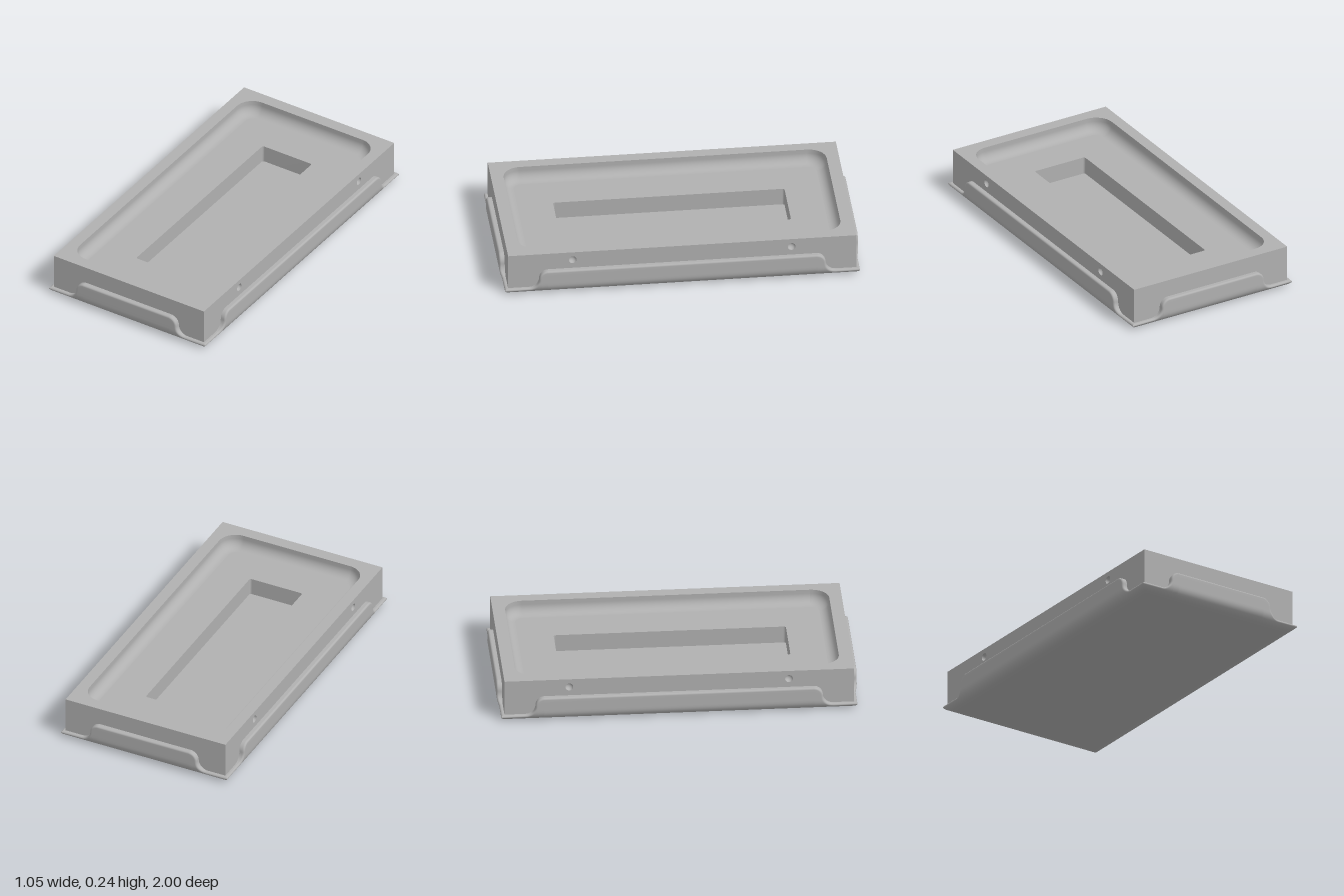
import * as THREE from 'three';

const BLOCK_X = 0.495, BLOCK_Z = 0.97, TOP = 0.243, LOW = 0.02;
const TRAY_Y = 0.164, POCKET_Y = 0.064;
const BASE_X = 0.465, BASE_Z = 0.94, BEND = 0.06, INNER = 0.03;

// Surface through rows of points; rows run upwards, columns to the right
function grid(rows) {
  const n = rows[0].length, index = [];
  for (let r = 0; r < rows.length - 1; r++) {
    for (let c = 0; c < n - 1; c++) {
      const a = r * n + c, b = a + n;
      index.push(a, a + 1, b + 1, a, b + 1, b);
    }
  }
  const g = new THREE.BufferGeometry();
  g.setAttribute('position', new THREE.Float32BufferAttribute(rows.flat(2), 3));
  g.setIndex(index);
  g.computeVertexNormals();
  return g;
}

// Closed rounded rectangle as [x, z] pairs
function ring(hx, hz, r, steps = 10) {
  const pts = [];
  [[1, 1], [-1, 1], [-1, -1], [1, -1]].forEach(([sx, sz], k) => {
    for (let i = 0; i <= steps; i++) {
      const t = (k + i / steps) * Math.PI / 2;
      pts.push([sx * (hx - r) + r * Math.cos(t), sz * (hz - r) + r * Math.sin(t)]);
    }
  });
  pts.push(pts[0]);
  return pts;
}

const at = (pts, y) => pts.map(([x, z]) => [x, y, z]);
const vecs = (pts) => pts.slice(0, -1).map(([x, z]) => new THREE.Vector2(x, z));

// Horizontal face with an optional opening
function flat(outer, hole, y) {
  const s = new THREE.Shape(vecs(outer));
  if (hole) s.holes.push(new THREE.Path(vecs(hole)));
  return new THREE.ShapeGeometry(s).rotateX(-Math.PI / 2).translate(0, y, 0);
}

function rect(hx, hz) {
  return [[hx, hz], [-hx, hz], [-hx, -hz], [hx, -hz], [hx, hz]];
}

// Upper edge of one skirt side: [along, height, normal along, normal up]
function skirtEdge(half, flatEnd) {
  const pts = [], r1 = 0.05, r2 = 0.057, steps = 10;
  for (let i = 0; i <= steps; i++) {
    const t = i / steps * Math.PI / 2;
    pts.push([flatEnd + r1 * Math.sin(t), 0.093 + r1 * Math.cos(t), Math.sin(t), Math.cos(t)]);
  }
  for (let i = 1; i <= steps; i++) {
    const t = i / steps * Math.PI / 2;
    pts.push([flatEnd + r1 + r2 * (1 - Math.cos(t)), 0.093 - r2 * Math.sin(t), Math.cos(t), Math.sin(t)]);
  }
  pts.push([half, 0.036, 0, 1]);
  const mirrored = pts.map(([a, h, na, nh]) => [-a, h, -na, nh]).reverse();
  return [...mirrored, ...pts];
}

// One skirt side facing +z: bent outer face, rounded lip, inner face
function skirtSide(half, base, flatEnd) {
  const edge = skirtEdge(half, flatEnd), last = edge.length - 1, lip = 0.01;
  const bulge = (y) => y < BEND ? Math.sqrt(BEND * BEND - (BEND - y) ** 2) : BEND;
  const place = (c, a, y, d) => [c === 0 ? -half - d : c === last ? half + d : a, y, base + d];
  const outer = [], inner = [];
  for (let r = 0; r <= 12; r++) {
    outer.push(edge.map(([a, h, na, nh], c) => {
      const y = (h - lip * nh) * (r / 12) ** 1.6;
      return place(c, a - lip * na, y, bulge(y));
    }));
  }
  for (let r = 1; r <= 4; r++) {
    const t = r / 4 * Math.PI / 2, k = lip * (1 - Math.sin(t));
    outer.push(edge.map(([a, h, na, nh], c) => place(c, a - k * na, h - k * nh,
      bulge(h - lip * nh) - lip * (1 - Math.cos(t)))));
  }
  const lipRow = outer[outer.length - 1];
  const innerTop = edge.map(([a, h], c) => place(c, a, h, INNER));
  inner.push(innerTop, edge.map(([a], c) => place(c, a, LOW, INNER)));
  return [grid(outer), grid([lipRow, innerTop]), grid(inner)];
}

export function createModel() {
  const model = new THREE.Group();
  const grey = new THREE.MeshStandardMaterial({ color: 0xb0b0b0, side: THREE.DoubleSide });
  grey.name = 'plain grey';
  const add = (name, geometry, parent = model) => {
    const mesh = new THREE.Mesh(geometry, grey);
    mesh.name = name;
    parent.add(mesh);
    return mesh;
  };

  // Tray: rim, filleted wall, floor with a sunken pocket
  const fillet = 0.055, trayRows = [];
  for (let i = 0; i <= 8; i++) {
    const t = i / 8 * Math.PI / 2, d = fillet * (1 - Math.sin(t));
    trayRows.push(at(ring(0.43 - d, 0.9 - d, 0.1 - d), TRAY_Y + fillet * (1 - Math.cos(t))));
  }
  const trayTop = ring(0.43, 0.9, 0.1);
  trayRows.push(at(trayTop, TOP));
  const floorEdge = ring(0.43 - fillet, 0.9 - fillet, 0.1 - fillet);
  const pocket = ring(0.162, 0.645, 0.012, 4);
  add('rim', flat(rect(BLOCK_X, BLOCK_Z), trayTop, TOP));
  add('trayWall', grid(trayRows));
  add('trayFloor', flat(floorEdge, pocket, TRAY_Y));
  add('pocketWall', grid([at(pocket, POCKET_Y), at(pocket, TRAY_Y)]));
  add('pocketFloor', flat(pocket, null, POCKET_Y));

  // Block walls: plain ends, long sides with two round dimples each
  const holeR = 0.022, holeY = 0.195, holeZ = 0.61;
  for (const turn of [0, Math.PI]) {
    const h = TOP - LOW;
    add('endWall', new THREE.PlaneGeometry(2 * BLOCK_X, h)
      .translate(0, LOW + h / 2, BLOCK_Z)).rotation.y = turn;

    const side = new THREE.Group();
    side.name = 'longSide';
    side.rotation.y = turn;
    model.add(side);
    const wall = new THREE.Shape([[-BLOCK_Z, LOW], [BLOCK_Z, LOW], [BLOCK_Z, TOP], [-BLOCK_Z, TOP]]
      .map(([u, v]) => new THREE.Vector2(u, v)));
    for (const z of [-holeZ, holeZ]) {
      wall.holes.push(new THREE.Path().absarc(z, holeY, holeR, 0, Math.PI * 2, true));
      add('dimple', new THREE.SphereGeometry(holeR, 24, 8, 0, Math.PI * 2, 0, Math.PI / 2)
        .rotateZ(Math.PI / 2).translate(BLOCK_X, holeY, z), side);
    }
    add('longWall', new THREE.ShapeGeometry(wall, 12)
      .rotateY(Math.PI / 2).translate(BLOCK_X, 0, 0), side);
  }

  // Wrapped skirt on all four sides, closed by the base
  for (let k = 0; k < 4; k++) {
    const parts = k % 2 ? skirtSide(BASE_Z, BASE_X, 0.748) : skirtSide(BASE_X, BASE_Z, 0.28);
    const skirt = new THREE.Group();
    skirt.name = k % 2 ? 'sideSkirt' : 'endSkirt';
    skirt.rotation.y = k * Math.PI / 2;
    ['skirtOuter', 'skirtLip', 'skirtInner'].forEach((name, i) => add(name, parts[i], skirt));
    model.add(skirt);
  }
  add('base', new THREE.PlaneGeometry(2 * BASE_X, 2 * BASE_Z).rotateX(Math.PI / 2));

  return model;
}
